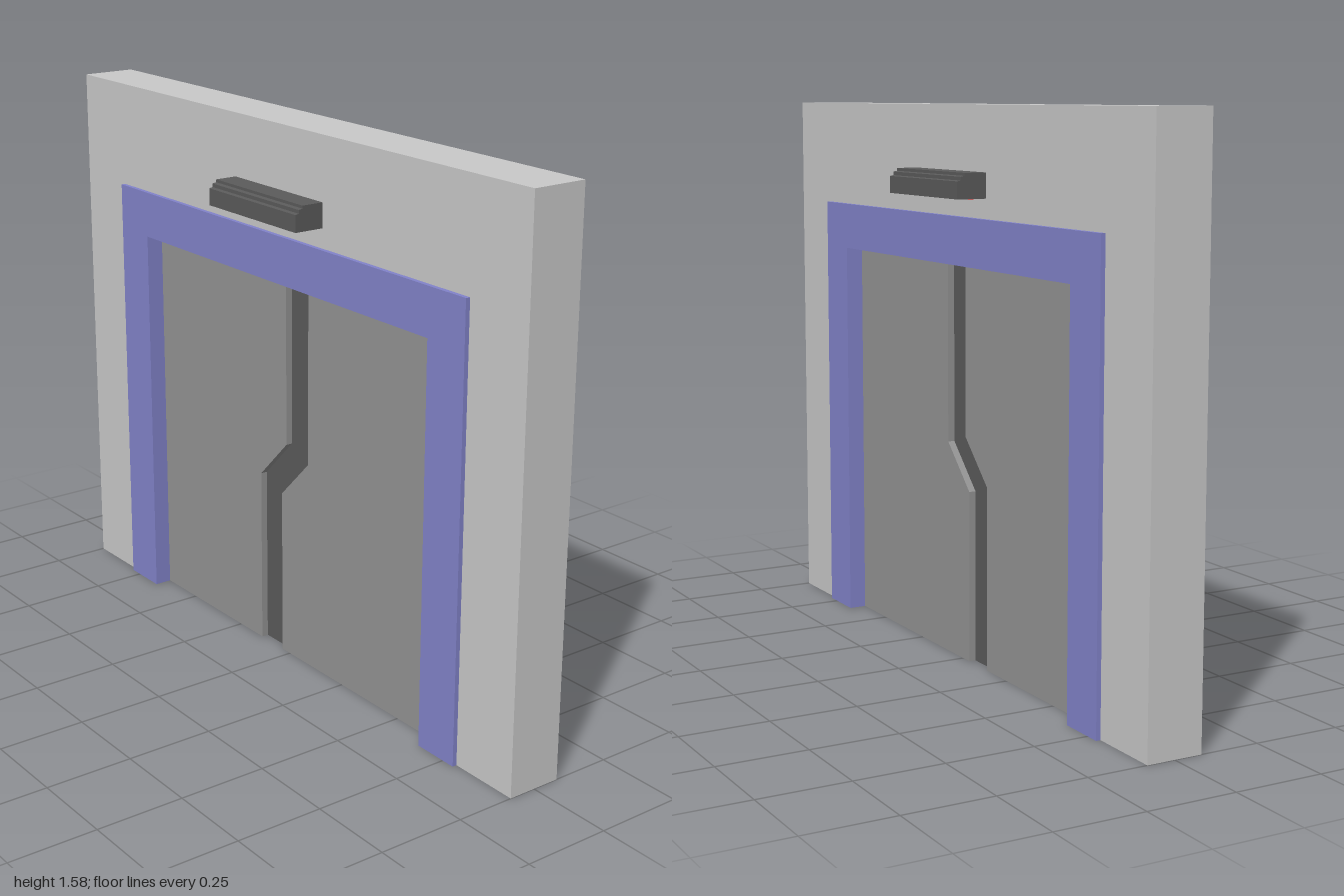
import * as THREE from 'three';

const mat = (name, color) => {
  const m = new THREE.MeshStandardMaterial({ color });
  m.name = name;
  return m;
};

// Extrudes a 2D outline symmetrically or between two z values
function slab(name, points, z0, z1, material) {
  const shape = new THREE.Shape(points.map(([x, y]) => new THREE.Vector2(x, y)));
  const geo = new THREE.ExtrudeGeometry(shape, { depth: z1 - z0, bevelEnabled: false });
  geo.translate(0, 0, z0);
  const mesh = new THREE.Mesh(geo, material);
  mesh.name = name;
  return mesh;
}

// Upside-down U outline standing on the ground
const arch = (ox, oy, ix, iy) => [
  [-ox, 0], [-ix, 0], [-ix, iy], [ix, iy], [ix, 0], [ox, 0], [ox, oy], [-ox, oy],
];

export function createModel() {
  const group = new THREE.Group();
  const wallGrey = mat('wallGrey', 0xc9c9c9);
  const frameBlue = mat('frameBlue', 0x8283ca);
  const doorGrey = mat('doorGrey', 0x939393);
  const darkGrey = mat('darkGrey', 0x5b5b5b);
  const lampRed = mat('lampRed', 0xe80000);

  const W = 0.65, H = 1.14, wallZ = 0.08, frameZ = 0.093;

  // Wall with doorway
  group.add(slab('wall', arch(1, 1.58, W + 0.008, H + 0.008), -wallZ, wallZ, wallGrey));

  // Door frame: lining through the wall and a trim on both faces
  group.add(slab('frameLining', arch(W + 0.008, H + 0.008, W, H), -wallZ, wallZ, frameBlue));
  group.add(slab('frameTrimFront', arch(0.79, 1.275, W, H), wallZ, frameZ, frameBlue));
  group.add(slab('frameTrimBack', arch(0.79, 1.275, W, H), -frameZ, -wallZ, frameBlue));

  // Two door leaves meeting along a jogged, recessed seal
  const seamL = [[-0.14, 0], [-0.14, 0.525], [-0.015, 0.65], [-0.015, H]];
  const seamR = [[-0.037, 0], [-0.037, 0.495], [0.088, 0.62], [0.088, H]];
  group.add(slab('doorLeafRight', [[-W, 0], ...seamL, [-W, H]], -0.042, 0.042, doorGrey));
  group.add(slab('doorLeafLeft', [[W, H], ...[...seamR].reverse(), [W, 0]], -0.042, 0.042, doorGrey));
  group.add(slab('doorSeal', [...seamL, ...[...seamR].reverse()], -0.022, 0.022, darkGrey));

  // Stepped lamp housing with a red light underneath, on both faces
  const profile = [
    [0.07, 1.33], [0.168, 1.33], [0.168, 1.378], [0.157, 1.38],
    [0.157, 1.39], [0.145, 1.392], [0.145, 1.4], [0.07, 1.4],
  ];
  for (const [side, turn] of [['Front', 0], ['Back', Math.PI]]) {
    const lamp = new THREE.Group();
    lamp.name = 'lamp' + side;
    const housing = slab('lampHousing', profile, -0.2, 0.2, darkGrey);
    housing.rotation.y = -Math.PI / 2;
    const light = new THREE.Mesh(new THREE.BoxGeometry(0.35, 0.004, 0.045), lampRed);
    light.name = 'lampLight';
    light.position.set(0, 1.33, 0.125);
    lamp.add(housing, light);
    lamp.rotation.y = turn;
    group.add(lamp);
  }
  return group;
}
